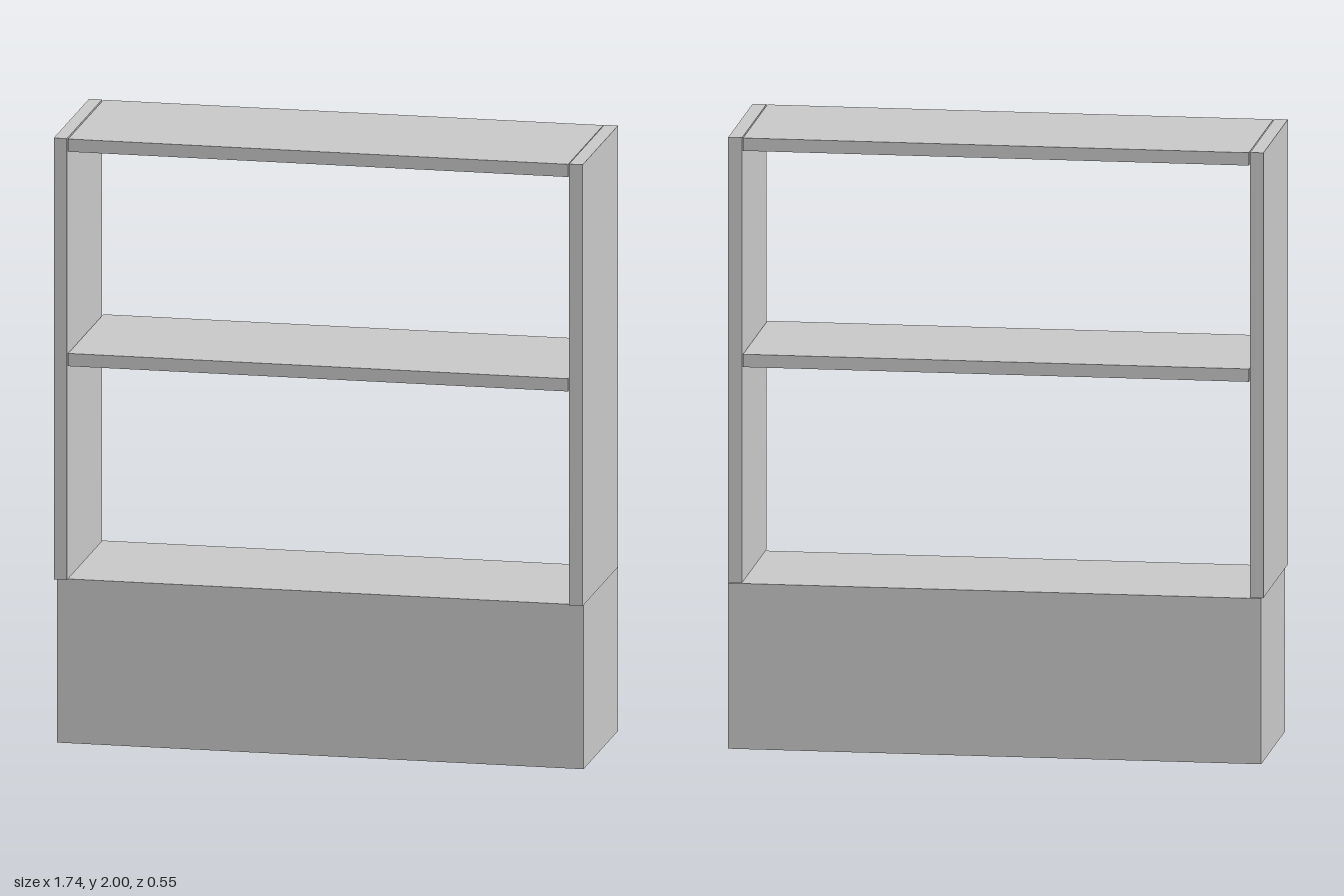
import * as THREE from 'three';

const material = new THREE.MeshStandardMaterial({ color: 0xcccccc, flatShading: true });

// Box given by its limits along each axis
function board(name, [x0, x1], [y0, y1], [z0, z1]) {
  const geometry = new THREE.BoxGeometry(x1 - x0, y1 - y0, z1 - z0);
  const mesh = new THREE.Mesh(geometry, material);
  mesh.position.set((x0 + x1) / 2, (y0 + y1) / 2, (z0 + z1) / 2);
  mesh.name = name;
  return mesh;
}

export function createModel() {
  const group = new THREE.Group();
  group.name = 'shelfUnit';
  const depth = [-0.267, 0.275];

  // Solid plinth, set slightly back from the shelving
  group.add(board('base', [-0.862, 0.866], [0, 0.542], [-0.275, 0.257]));

  // Upright side panels
  group.add(board('rightSide', [-0.868, -0.825], [0.543, 2], depth));
  group.add(board('leftSide', [0.822, 0.867], [0.543, 2], depth));

  // Shelves between the sides
  for (const [name, bottom] of [['middleShelf', 1.249], ['topShelf', 1.957]]) {
    group.add(board(name, [-0.821, 0.819], [bottom, bottom + 0.042], depth));
  }
  return group;
}
